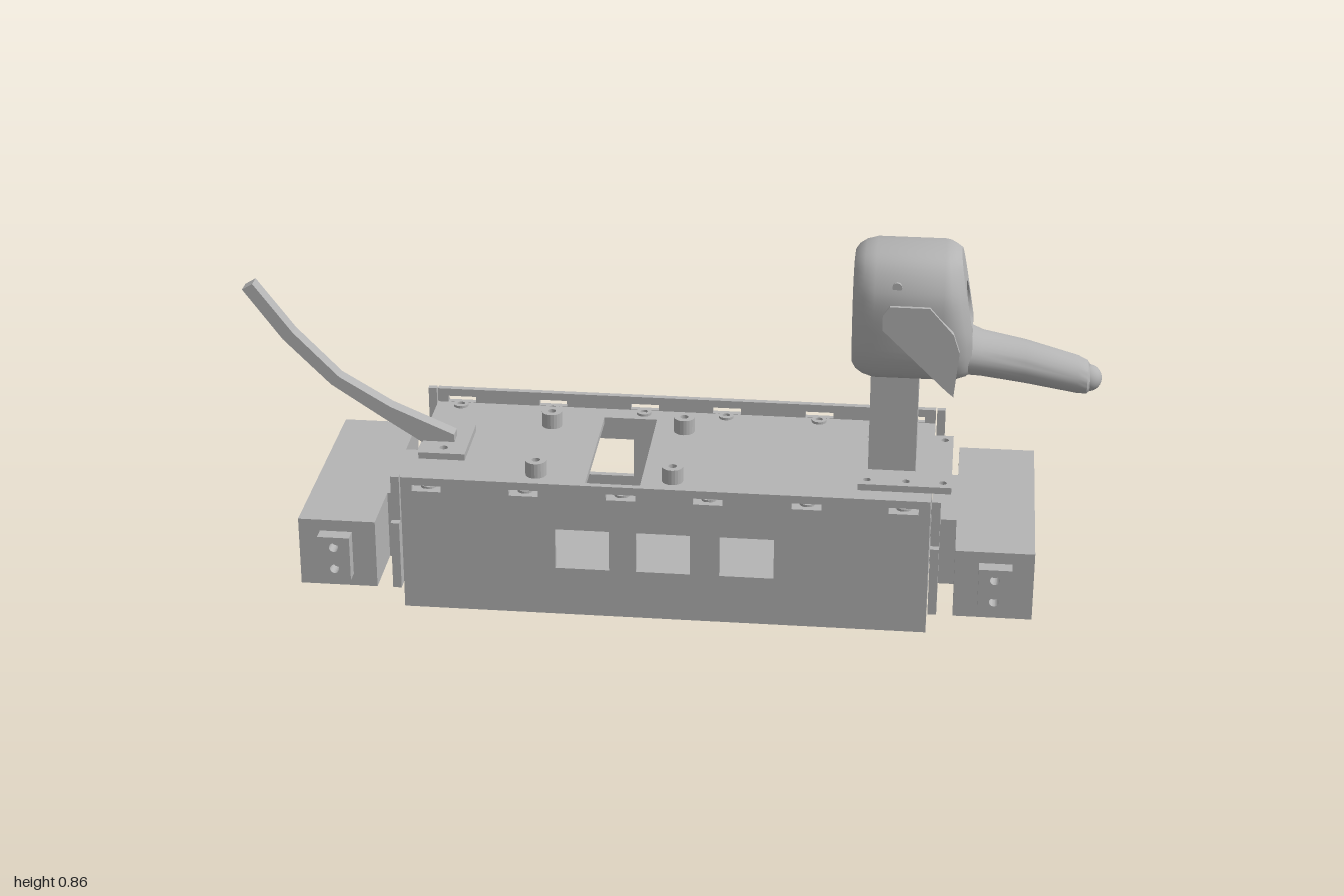
import * as THREE from 'three';
import { toCreasedNormals } from 'three/addons/utils/BufferGeometryUtils.js';

const grey = new THREE.MeshStandardMaterial({ color: 0xb4b4b4, side: THREE.DoubleSide });
grey.name = 'grey plastic';

function add(parent, name, geometry, x = 0, y = 0, z = 0) {
  const mesh = new THREE.Mesh(geometry, grey);
  mesh.name = name;
  mesh.position.set(x, y, z);
  parent.add(mesh);
  return mesh;
}

// Box given by its minimum and maximum corners
function box(parent, name, x0, x1, y0, y1, z0, z1) {
  return add(parent, name, new THREE.BoxGeometry(x1 - x0, y1 - y0, z1 - z0),
    (x0 + x1) / 2, (y0 + y1) / 2, (z0 + z1) / 2);
}

const rect = (C, a0, a1, b0, b1) => new C([[a0, b0], [a1, b0], [a1, b1], [a0, b1]].map(p => new THREE.Vector2(...p)));
const rectHole = (...r) => rect(THREE.Path, ...r);
const roundHole = (x, y, r) => new THREE.Path().absarc(x, y, r, 0, Math.PI * 2, true);

function extrude(shape, depth, holes = []) {
  shape.holes.push(...holes);
  return new THREE.ExtrudeGeometry(shape, { depth, bevelEnabled: false, curveSegments: 10 });
}

// Plate facing z (x, y outline), facing up (x, -z outline) or facing x (-z, y outline)
const plateZ = (r, d, holes) => extrude(rect(THREE.Shape, ...r), d, holes);
const plateY = (r, d, holes) => plateZ(r, d, holes).rotateX(-Math.PI / 2);
const plateX = (r, d, holes) => plateZ(r, d, holes).rotateY(Math.PI / 2);

// Skin through rings of [x, y, z] points that advance along +x
function loft(rings, capFront) {
  const n = rings[0].length, pos = rings.flat(2), index = [];
  for (let r = 0; r < rings.length - 1; r++)
    for (let i = 0; i < n; i++) {
      const a = r * n + i, b = r * n + (i + 1) % n;
      index.push(a, b, b + n, a, b + n, a + n);
    }
  const last = (rings.length - 1) * n;
  for (let i = 1; i < n - 1; i++) {
    index.push(0, i + 1, i);
    if (capFront) index.push(last, last + i, last + i + 1);
  }
  const g = new THREE.BufferGeometry();
  g.setAttribute('position', new THREE.Float32BufferAttribute(pos, 3));
  g.setIndex(index);
  return toCreasedNormals(g, 0.6);
}

function buildBody(root) {
  const body = new THREE.Group();
  body.name = 'body';
  root.add(body);
  const x0 = -0.595, x1 = 0.62, slots = [-0.535, -0.31, -0.085, 0.115, 0.34, 0.56];

  // Side walls with windows and top slots
  const wallHoles = () => [
    ...[-0.175, 0.0125, 0.205].map(x => rectHole(x - 0.0625, x + 0.0625, 0.12, 0.22)),
    ...slots.map(x => rectHole(x - 0.034, x + 0.034, 0.301, 0.316)),
  ];
  for (const z of [0.24, -0.255])
    add(body, 'sideWall', plateZ([x0, x1, 0, 0.335], 0.015, wallHoles()), 0, 0, z);

  // Floor, end walls and deck
  box(body, 'floor', x0, x1, 0, 0.015, -0.24, 0.24);
  for (const x of [x0, x1 - 0.015])
    add(body, 'endWall', plateX([-0.24, 0.24, 0.015, 0.285], 0.015,
      [rectHole(-0.062, 0.062, 0.085, 0.195), rectHole(-0.04, 0.04, 0.02, 0.052)]), x);
  add(body, 'deck', plateY([x0, x1, -0.24, 0.24], 0.015, [rectHole(-0.178, -0.05, -0.19, 0.19)]), 0, 0.285);

  // Screw collars along the edges and standoffs on the deck
  const collar = (name, x, z, r, hole, h) => {
    const s = new THREE.Shape().absarc(0, 0, r, 0, Math.PI * 2);
    add(body, name, extrude(s, h, [roundHole(0, 0, hole)]).rotateX(-Math.PI / 2), x, 0.3, z);
  };
  for (const s of [-1, 1]) {
    for (const x of slots) collar('screwCollar', x, s * 0.222, 0.018, 0.009, 0.006);
    for (const x of [-0.298, 0.022]) collar('standoff', x, s * 0.135, 0.025, 0.01, 0.037);
  }
}

// Hip housing, built pointing to +x from the body's end
function buildHip(root, x, turn) {
  const hip = new THREE.Group();
  hip.name = 'hip';
  hip.position.x = x;
  hip.rotation.y = turn;
  root.add(hip);
  const y0 = 0.057, y1 = 0.224, w = 0.272, t = 0.013;
  const window = () => rectHole(-0.062, 0.062, 0.09, 0.192);
  const screws = () => [-0.095, 0.095].flatMap(z => [0.082, 0.198].map(y => roundHole(z, y, 0.01)));
  // Tall mounting plate with raised ends
  add(hip, 'mountPlate', plateX([-w, w, y0, y1], 0.02, [window(), ...screws()]), 0.003);
  for (const s of [-1, 1]) {
    box(hip, 'mountPost', 0.003, 0.023, y1, 0.335, s * 0.2475 - 0.0075, s * 0.2475 + 0.0075);
    box(hip, 'connectorSide', 0.023, 0.06, y0 + t, y1 - t, s * 0.113 - 0.006, s * 0.113 + 0.006);
  }
  add(hip, 'innerWall', plateX([-w + t, w - t, y0 + t, y1 - t], t, [window(), ...screws()]), 0.06);
  for (const y of [y0, y1 - t]) {
    box(hip, 'connectorPlate', 0.023, 0.06, y, y + t, -0.119, 0.119);
    box(hip, 'housingPlate', 0.06, 0.24, y, y + t, -w, w);
  }
  box(hip, 'divider', 0.073, 0.24, y0 + t, y1 - t, -0.003, 0.003);
  for (const s of [-1, 1]) {
    box(hip, 'housingSide', 0.06, 0.24, y0 + t, y1 - t, s * (w - t / 2) - t / 2, s * (w - t / 2) + t / 2);
    add(hip, 'axleBlock', plateZ([0.115, 0.19, 0.087, 0.196], 0.033,
      [0.115, 0.17].map(y => roundHole(0.152, y, 0.011))), 0, 0, s > 0 ? w : -w - 0.033);
  }
}

function buildHead(root) {
  const head = new THREE.Group();
  head.name = 'head';
  root.add(head);

  // Neck channel, open at the back, on its foot plate
  const u = [[0.47, 0.06], [0.47, 0.03], [0.565, 0.03], [0.565, -0.03], [0.47, -0.03], [0.47, -0.06], [0.58, -0.06], [0.58, 0.06]];
  add(head, 'neck', extrude(new THREE.Shape(u.map(p => new THREE.Vector2(...p))), 0.275).rotateX(-Math.PI / 2), 0, 0.316);
  const footHoles = [0.47, 0.56, 0.645].flatMap(x => [-0.115, 0.115].map(z => roundHole(x, z, 0.009)));
  add(head, 'neckFoot', plateY([0.45, 0.665, -0.14, 0.14], 0.016, footHoles), 0, 0.3);

  // Skull: one outline scaled along x, with a leaning face
  const half = [[0.05, 0.854], [0.09, 0.833], [0.12, 0.785], [0.127, 0.74], [0.122, 0.66], [0.112, 0.61], [0.085, 0.565], [0.045, 0.55]];
  const outline = [...half, ...half.map(([z, y]) => [-z, y]).reverse()];
  const curve = new THREE.CatmullRomCurve3(outline.map(([z, y]) => new THREE.Vector3(0, y, z)), true);
  const points = curve.getPoints(48).slice(0, 48);
  const lean = y => -0.17 * Math.max(0, y - 0.66);
  const ring = ([x, sz, sy, k]) => points.map(p => {
    const y = 0.705 + (p.y - 0.705) * sy;
    return [x + k * lean(y), y, p.z * sz];
  });
  const rings = [[0.425, 0.72, 0.82, 0], [0.434, 0.83, 0.9, 0], [0.45, 0.93, 0.96, 0], [0.475, 1, 1, 0],
    [0.63, 1, 1, 0], [0.663, 0.94, 0.995, 0.7], [0.685, 0.8, 0.97, 1], [0.698, 0.62, 0.93, 1]].map(ring);
  add(head, 'skull', loft(rings, false));

  // Face with a stepped round socket
  const bend = g => {
    const p = g.attributes.position;
    for (let i = 0; i < p.count; i++) if (p.getX(i) > 0.66) p.setX(i, p.getX(i) + lean(p.getY(i)));
    g.computeVertexNormals();
    return g;
  };
  const face = new THREE.Shape(rings.at(-1).map(([, y, z]) => new THREE.Vector2(-z, y)));
  face.holes.push(roundHole(0, 0.715, 0.055));
  add(head, 'face', bend(new THREE.ShapeGeometry(face, 24).rotateY(Math.PI / 2).translate(0.698, 0, 0)));
  const tube = (r, x0, x1) => new THREE.CylinderGeometry(r, r, x1 - x0, 32, 1, true)
    .rotateZ(-Math.PI / 2).translate((x0 + x1) / 2, 0.715, 0);
  add(head, 'socketRim', bend(tube(0.055, 0.64, 0.698)));
  add(head, 'socketStep', new THREE.RingGeometry(0.042, 0.055, 32).rotateY(Math.PI / 2), 0.64, 0.715);
  add(head, 'socketWall', tube(0.042, 0.57, 0.64));
  add(head, 'socketBack', new THREE.CircleGeometry(0.042, 32).rotateY(Math.PI / 2), 0.57, 0.715);
  for (const s of [-1, 1])
    add(head, 'socketScrew', new THREE.CylinderGeometry(0.008, 0.008, 0.006, 12).rotateZ(Math.PI / 2), 0.643, 0.715 + s * 0.048);

  // Muzzle: x, centre height, half width, half height
  const muzzle = [[0.64, 0.607, 0.082, 0.06], [0.69, 0.606, 0.076, 0.056], [0.72, 0.598, 0.066, 0.051], [0.82, 0.581, 0.057, 0.049],
    [0.94, 0.554, 0.047, 0.043], [0.962, 0.548, 0.043, 0.038], [0.968, 0.546, 0.034, 0.031]]
    .map(([x, cy, hz, hy]) => Array.from({ length: 32 }, (_, i) => {
      const a = i / 32 * Math.PI * 2;
      return [x, cy + hy * Math.cos(a), hz * Math.sin(a)];
    }));
  add(head, 'muzzle', loft(muzzle, true));
  add(head, 'nose', new THREE.SphereGeometry(0.031, 24, 16), 0.966, 0.546);

  // Flat ears and eye pins on both sides
  const ear = [[0.495, 0.735], [0.51, 0.757], [0.6, 0.757], [0.655, 0.695], [0.67, 0.65], [0.66, 0.543], [0.645, 0.555], [0.495, 0.7]];
  for (const s of [-1, 1]) {
    add(head, 'ear', extrude(new THREE.Shape(ear.map(p => new THREE.Vector2(...p))), 0.015), 0, 0, s > 0 ? 0.12 : -0.135);
    add(head, 'eye', new THREE.CylinderGeometry(0.011, 0.011, 0.012, 16).rotateX(Math.PI / 2), 0.525, 0.797, s * 0.111);
  }
}

function buildTail(root) {
  const tail = new THREE.Group();
  tail.name = 'tail';
  root.add(tail);
  const holes = [-0.05, 0.05].map(z => roundHole(-0.53, z, 0.01));
  add(tail, 'tailFoot', plateY([-0.585, -0.475, -0.082, 0.082], 0.016, holes), 0, 0.3);
  // Faceted upward sweep
  const side = [[-0.51, 0.335], [-0.66, 0.4], [-0.78, 0.472], [-0.885, 0.58], [-0.975, 0.7], [-1, 0.685],
    [-0.91, 0.563], [-0.8, 0.452], [-0.68, 0.372], [-0.59, 0.314], [-0.51, 0.314]];
  add(tail, 'tailBlade', extrude(new THREE.Shape(side.map(p => new THREE.Vector2(...p))), 0.036), 0, 0, -0.018);
}

export function createModel() {
  const root = new THREE.Group();
  root.name = 'robotDog';
  buildBody(root);
  buildHip(root, 0.62, 0);
  buildHip(root, -0.595, Math.PI);
  buildHead(root);
  buildTail(root);
  return root;
}
